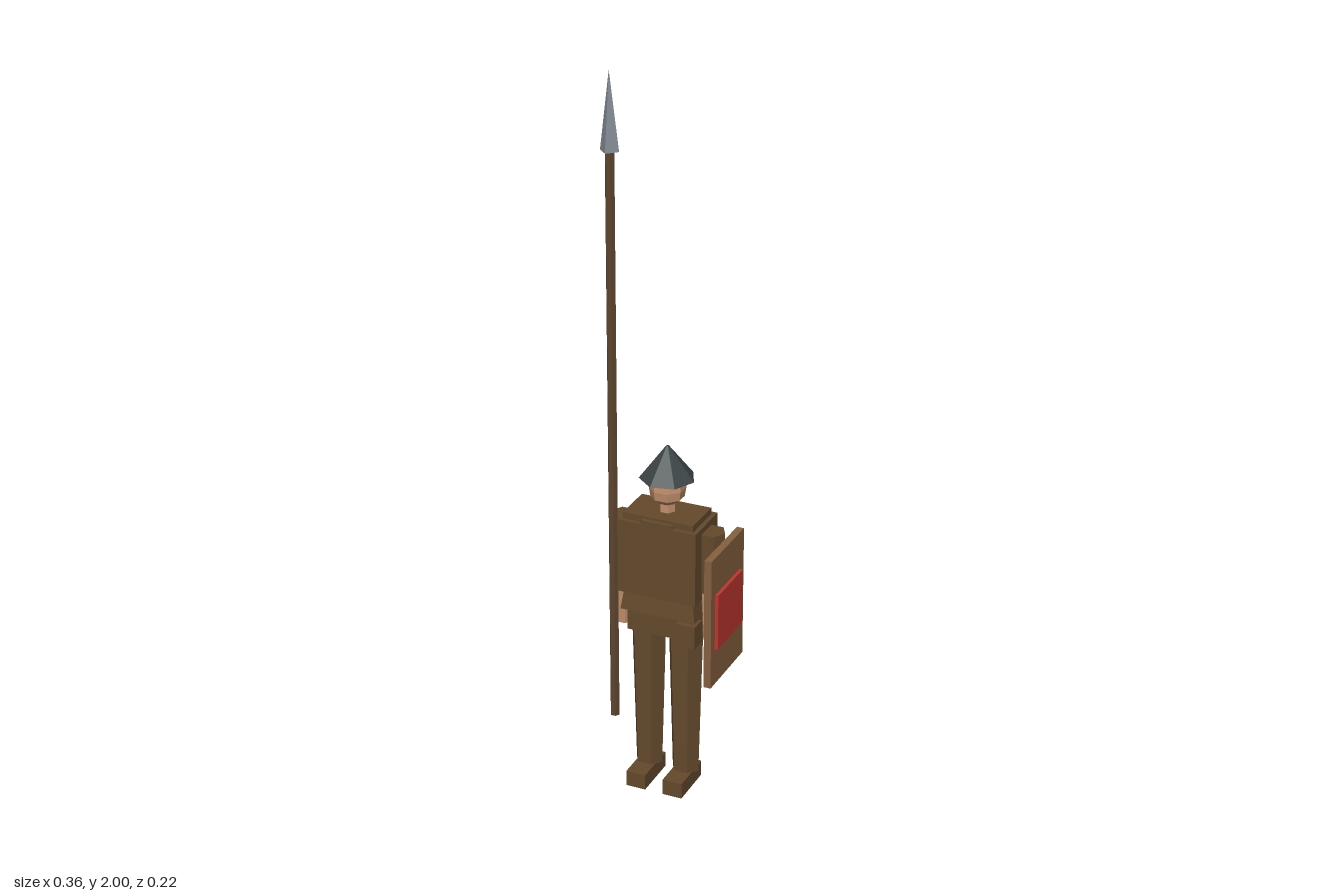
import * as THREE from 'three';

export function createModel() {
  const root = new THREE.Group();
  root.name = 'spearman';
  const paint = (name, color) => {
    const m = new THREE.MeshStandardMaterial({ color, flatShading: true });
    m.name = name;
    return m;
  };
  const cloth = paint('brown cloth', 0x654a2d);
  const pole = paint('dark wood', 0x5e452e);
  const wood = paint('light wood', 0x866140);
  const red = paint('red', 0xc0362f);
  const iron = paint('dark iron', 0x3c4547);
  const steel = paint('steel', 0x858d97);
  const skin = paint('skin', 0xc4906c);

  const add = (name, geo, mat, x = 0, y = 0, z = 0) => {
    const mesh = new THREE.Mesh(geo, mat);
    mesh.name = name;
    mesh.position.set(x, y, z);
    root.add(mesh);
    return mesh;
  };
  // Box given by its limits on each axis
  const box = (name, mat, x0, x1, y0, y1, z0, z1) =>
    add(name, new THREE.BoxGeometry(x1 - x0, y1 - y0, z1 - z0), mat,
      (x0 + x1) / 2, (y0 + y1) / 2, (z0 + z1) / 2);
  // Upright prism or cone with a corner pointing to +x
  const prism = (name, mat, rTop, rBottom, y0, y1, x, z, sides = 6) =>
    add(name, new THREE.CylinderGeometry(rTop, rBottom, y1 - y0, sides, 1, false, Math.PI / 2),
      mat, x, (y0 + y1) / 2, z);

  const cx = -0.018, cz = -0.038;

  // Torso, collar and belt
  box('torso', cloth, -0.13, 0.093, 0.585, 0.795, -0.11, 0.033);
  box('shoulderYoke', cloth, -0.119, 0.081, 0.79, 0.813, -0.097, 0.021);
  prism('collar', cloth, 0.083, 0.083, 0.785, 0.806, cx, cz);
  const waist = box('waist', cloth, -0.125, 0.089, 0.53, 0.59, -0.105, 0.028);
  const p = waist.geometry.attributes.position;
  for (let i = 0; i < p.count; i++) {
    if (p.getY(i) > 0) {
      p.setX(i, p.getX(i) * 0.92);
      p.setZ(i, p.getZ(i) * 0.88);
    }
  }
  waist.geometry.computeVertexNormals();
  box('hips', cloth, -0.107, 0.083, 0.47, 0.535, -0.097, 0.022);
  box('beltPouch', cloth, 0.04, 0.094, 0.46, 0.525, -0.01, 0.037);

  // Limbs
  for (const [side, s] of [['left', 1], ['right', -1]]) {
    const armX = cx + s * 0.127, legX = cx + s * 0.054;
    prism(side + 'Sleeve', cloth, 0.037, 0.034, 0.605, 0.778, armX, cz);
    prism(side + 'Forearm', skin, 0.032, 0.024, 0.46, 0.615, armX, cz);
    prism(side + 'Leg', cloth, 0.05, 0.038, 0.04, 0.48, legX, cz);
    box(side + 'Foot', cloth, legX - 0.028, legX + 0.028, 0, 0.045, -0.08, 0.052);
  }

  // Head and helmet
  prism('neck', skin, 0.022, 0.022, 0.8, 0.85, cx, cz);
  const headProfile = [[0, 0.837], [0.024, 0.838], [0.045, 0.855], [0.049, 0.88], [0.046, 0.915], [0, 0.92]]
    .map(([x, y]) => new THREE.Vector2(x, y));
  add('head', new THREE.LatheGeometry(headProfile, 8, Math.PI / 8), skin, cx, 0, cz);
  prism('helmet', iron, 0.004, 0.075, 0.907, 0.998, cx, cz, 7);

  // Spear
  prism('spearShaft', pole, 0.013, 0.013, 0.2, 1.8, -0.145, 0.025);
  prism('spearHead', steel, 0, 0.026, 1.795, 2, -0.145, 0.025, 4);

  // Shield with painted panel
  box('shield', wood, 0.152, 0.172, 0.4, 0.77, -0.102, 0.11);
  box('shieldPanel', red, 0.172, 0.181, 0.505, 0.663, -0.075, 0.085);

  return root;
}
